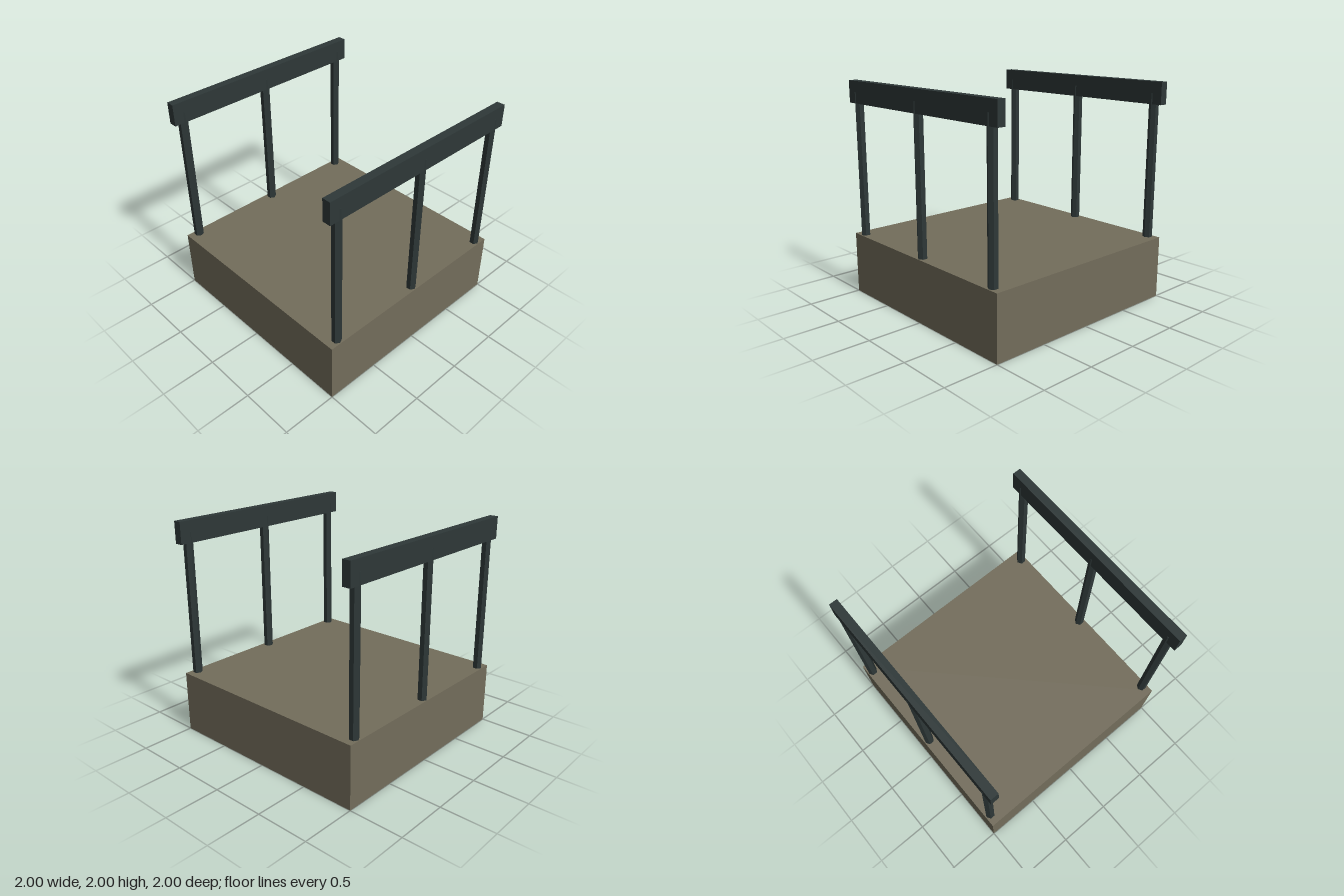
import * as THREE from 'three';

export function createModel() {
  const model = new THREE.Group();
  const stone = new THREE.MeshStandardMaterial({ color: 0x736d5b });
  stone.name = 'stone';
  const iron = new THREE.MeshStandardMaterial({ color: 0x2e3838, flatShading: true });
  iron.name = 'dark iron';

  const add = (name, geometry, material, x, y, z) => {
    const mesh = new THREE.Mesh(geometry, material);
    mesh.name = name;
    mesh.position.set(x, y, z);
    model.add(mesh);
  };

  // Solid block
  const baseTop = 0.575;
  add('base', new THREE.BoxGeometry(2, baseTop, 2), stone, 0, baseTop / 2, 0);

  // Railings along the front and back edges: a beam on three hexagonal posts
  const postTop = 1.9;
  const postHeight = postTop - baseTop;
  const post = new THREE.CylinderGeometry(0.043, 0.043, postHeight, 6);
  const beam = new THREE.BoxGeometry(2, 0.2, 0.076);
  for (const [side, z] of [['front', 0.95], ['back', -0.95]]) {
    add(`${side}Rail`, beam, iron, 0, 1.9, z);
    [-0.9, 0, 0.9].forEach((x, i) =>
      add(`${side}Post${i + 1}`, post, iron, x, baseTop + postHeight / 2, z));
  }
  return model;
}
